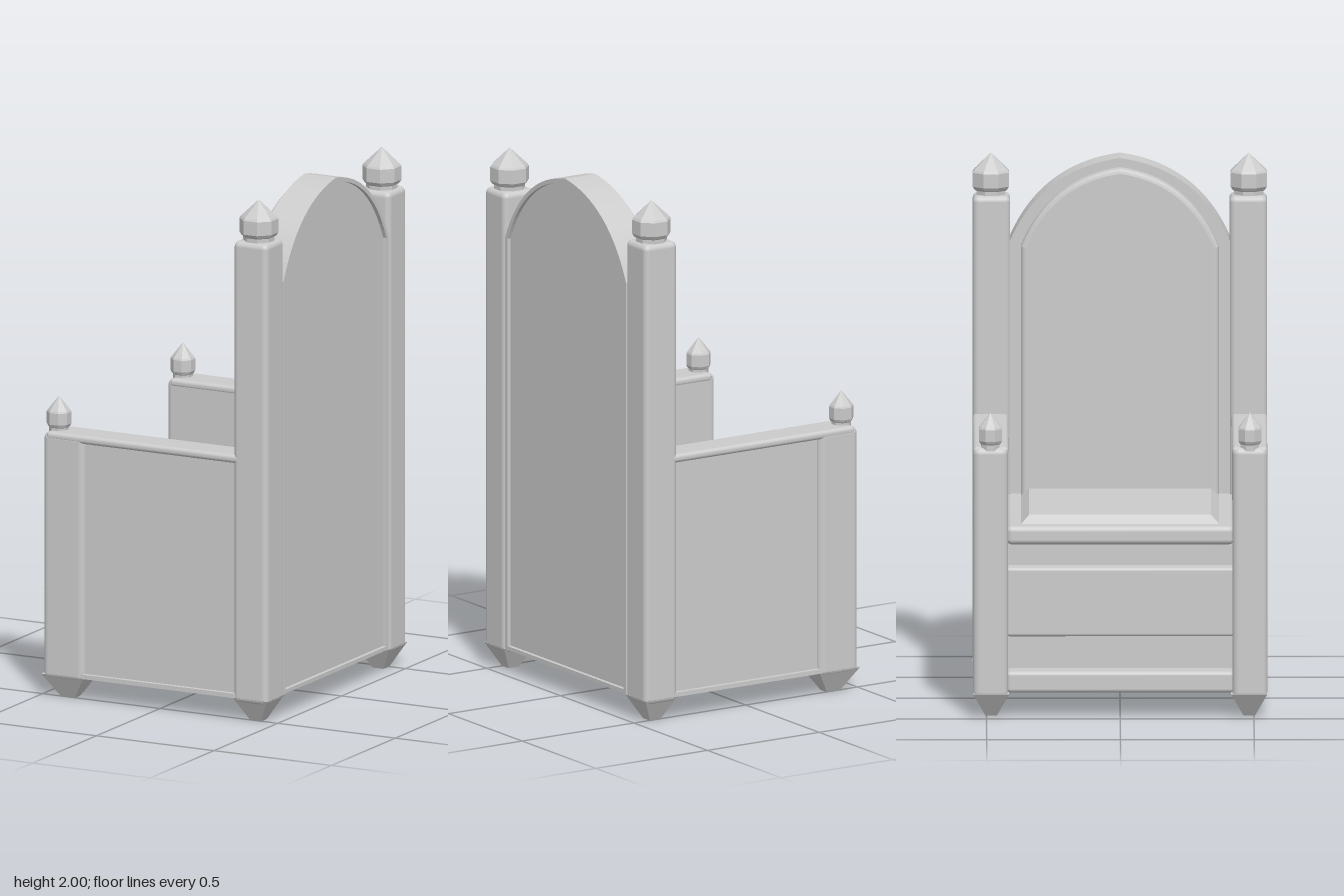
import * as THREE from 'three';
import { RoundedBoxGeometry } from 'three/addons/geometries/RoundedBoxGeometry.js';

const smooth = new THREE.MeshStandardMaterial({ color: 0xcccccc });
const faceted = new THREE.MeshStandardMaterial({ color: 0xcccccc, flatShading: true });

function add(parent, name, geometry, material = smooth) {
  const mesh = new THREE.Mesh(geometry, material);
  mesh.name = name;
  parent.add(mesh);
  return mesh;
}

// Block given by its limits, optionally with rounded edges
function block(parent, name, [x0, x1], [y0, y1], [z0, z1], r = 0) {
  const size = [x1 - x0, y1 - y0, z1 - z0];
  const g = r ? new RoundedBoxGeometry(...size, 3, r) : new THREE.BoxGeometry(...size);
  g.translate((x0 + x1) / 2, (y0 + y1) / 2, (z0 + z1) / 2);
  return add(parent, name, g);
}

// Pointed-arch outline, drawn across the chair
function arch(Type, w, y0, spring, top) {
  const s = new Type();
  const rise = top - spring;
  s.moveTo(-w, y0);
  s.lineTo(w, y0);
  s.lineTo(w, spring);
  s.quadraticCurveTo(w * 0.71, spring + rise * 0.87, 0, top);
  s.quadraticCurveTo(-w * 0.71, spring + rise * 0.87, -w, spring);
  s.closePath();
  return s;
}

// Extrude a cross-chair outline along x
function slab(shape, x, depth, bevel = 0) {
  const g = new THREE.ExtrudeGeometry(shape, {
    depth: depth - 2 * bevel, curveSegments: 16, bevelEnabled: bevel > 0,
    bevelThickness: bevel, bevelSize: bevel, bevelOffset: -bevel, bevelSegments: 3,
  });
  return g.rotateY(Math.PI / 2).translate(x + bevel, 0, 0);
}

// Eight-sided finial: neck, block and point
function finial(parent, x, y, z, half, height) {
  const r = half / Math.cos(Math.PI / 8);
  const profile = [[0.8, -0.05], [0.8, 0.12], [0.88, 0.14], [1, 0.22], [1, 0.55], [0.93, 0.6], [0, 1]]
    .map(([a, b]) => new THREE.Vector2(a * r, b * height));
  add(parent, 'finial', new THREE.LatheGeometry(profile, 8, Math.PI / 8), faceted).position.set(x, y, z);
}

// Square tapered foot under a post
function foot(parent, [x0, x1], [z0, z1]) {
  const g = new THREE.CylinderGeometry(Math.SQRT1_2, Math.SQRT1_2 * 0.32, 1, 4).rotateY(Math.PI / 4);
  g.scale(x1 - x0, 0.09, z1 - z0).translate((x0 + x1) / 2, 0.045, (z0 + z1) / 2);
  add(parent, 'foot', g, faceted);
}

// Raised cushion with mitred sloping edges
function cushion(parent, [x0, x1], [y0, y1], half, slope) {
  const s = new THREE.Shape();
  s.moveTo(x0 + slope, -half + slope);
  s.lineTo(x1 - slope, -half + slope);
  s.lineTo(x1 - slope, half - slope);
  s.lineTo(x0 + slope, half - slope);
  s.closePath();
  const g = new THREE.ExtrudeGeometry(s, {
    depth: 0.01, bevelSize: slope, bevelThickness: y1 - y0, bevelSegments: 1,
  });
  g.rotateX(-Math.PI / 2).translate(0, y0 - 0.01, 0);
  add(parent, 'seatCushion', g, faceted);
}

export function createModel() {
  const chair = new THREE.Group();
  chair.name = 'throne';

  // Sides: posts, feet, finials, panels and arm rails
  for (const side of [1, -1]) {
    const g = new THREE.Group();
    g.name = side > 0 ? 'positiveSide' : 'negativeSide';
    const z = (a, b) => (side > 0 ? [a, b] : [-b, -a]);
    block(g, 'backPost', [0.335, 0.48], [0.07, 1.845], z(0.41, 0.55), 0.022);
    block(g, 'frontPost', [-0.475, -0.3], [0.07, 1.02], z(0.42, 0.55), 0.025);
    foot(g, [0.335, 0.48], z(0.41, 0.55));
    foot(g, [-0.48, -0.3], z(0.415, 0.55));
    finial(g, 0.41, 1.84, side * 0.482, 0.068, 0.16);
    finial(g, -0.438, 1.015, side * 0.485, 0.043, 0.135);
    block(g, 'sidePanel', [-0.4, 0.4], [0.09, 1.0], z(0.42, 0.53));
    block(g, 'armRail', [-0.46, 0.38], [0.99, 1.022], z(0.418, 0.55), 0.014);
    block(g, 'sideBaseRail', [-0.4, 0.4], [0.088, 0.105], z(0.42, 0.547));
    chair.add(g);
  }

  // Arched back: thin rim around a slightly sunken panel
  const back = new THREE.Group();
  back.name = 'backrest';
  const rim = arch(THREE.Shape, 0.412, 0.09, 1.675, 1.99);
  rim.holes.push(arch(THREE.Path, 0.395, 0.105, 1.675, 1.973));
  add(back, 'backRim', slab(rim, 0.342, 0.135));
  add(back, 'backPanel', slab(arch(THREE.Shape, 0.4, 0.1, 1.675, 1.98), 0.35, 0.112));
  add(back, 'backCushion', slab(arch(THREE.Shape, 0.37, 0.7, 1.66, 1.955), 0.3, 0.07, 0.018));
  chair.add(back);

  // Seat box with overhanging seat, raised front panel and plinth
  const seat = new THREE.Group();
  seat.name = 'seat';
  block(seat, 'seatBox', [-0.36, 0.4], [0.09, 0.7], [-0.425, 0.425]);
  block(seat, 'seatBoard', [-0.453, 0.36], [0.65, 0.72], [-0.425, 0.425], 0.02);
  block(seat, 'frontPanel', [-0.43, -0.34], [0.3, 0.56], [-0.425, 0.425], 0.012);
  block(seat, 'plinth', [-0.45, -0.34], [0.09, 0.17], [-0.425, 0.425], 0.015);
  cushion(seat, [-0.385, 0.305], [0.72, 0.75], 0.37, 0.03);
  chair.add(seat);

  return chair;
}
